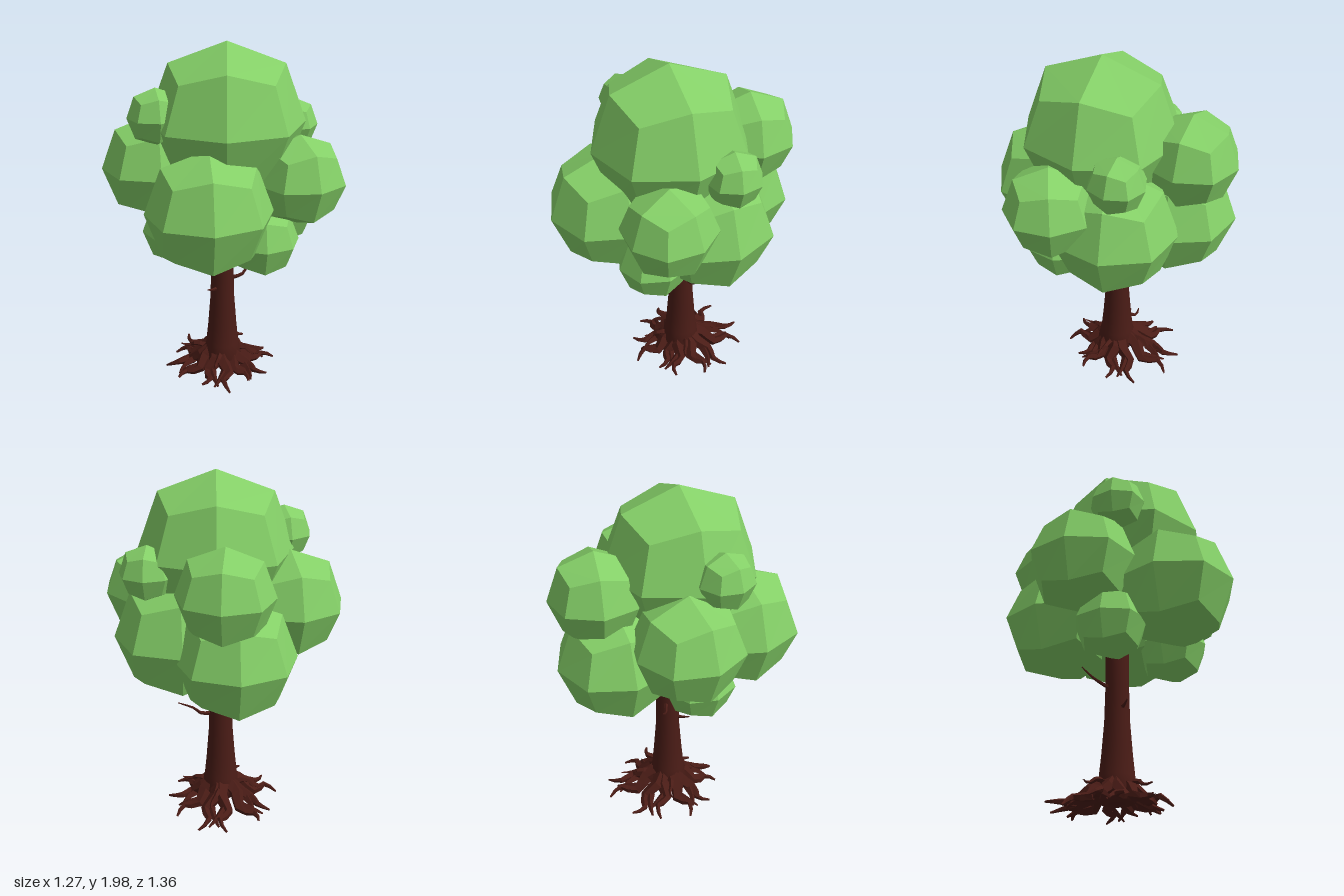
import * as THREE from 'three';

const leafMat = new THREE.MeshStandardMaterial({ color: 0x84cf67, flatShading: true });
const barkMat = new THREE.MeshStandardMaterial({ color: 0x4a1c16 });
const rootMat = new THREE.MeshStandardMaterial({ color: 0x4a1c16, flatShading: true });

// Unit leaf clump: a cube split 2x2 per side and rounded to a 24-quad ball
function clumpGeometry() {
  const geo = new THREE.BoxGeometry(2, 2, 2, 2, 2, 2);
  const pos = geo.attributes.position;
  const v = new THREE.Vector3();
  for (let i = 0; i < pos.count; i++) {
    v.fromBufferAttribute(pos, i);
    const k = [1, 1, 0.73, 0.57][Math.round(v.lengthSq())];
    pos.setXYZ(i, v.x * k, v.y * k, v.z * k);
  }
  geo.computeVertexNormals();
  return geo;
}

// Tube along a curve, narrowing from r0 to r1
function taperedTube(points, r0, r1, segments, sides) {
  const curve = new THREE.CatmullRomCurve3(points);
  const geo = new THREE.TubeGeometry(curve, segments, 1, sides);
  const pos = geo.attributes.position;
  const v = new THREE.Vector3();
  for (let i = 0; i < pos.count; i++) {
    const t = Math.floor(i / (sides + 1)) / segments;
    const c = curve.getPointAt(t);
    v.fromBufferAttribute(pos, i).sub(c).multiplyScalar(r0 + (r1 - r0) * t).add(c);
    pos.setXYZ(i, v.x, v.y, v.z);
  }
  geo.computeVertexNormals();
  return geo;
}

function add(parent, name, geo, mat) {
  const mesh = new THREE.Mesh(geo, mat);
  mesh.name = name;
  parent.add(mesh);
  return mesh;
}

export function createModel() {
  const tree = new THREE.Group();
  tree.name = 'tree';
  const V = (x, y, z) => new THREE.Vector3(x, y, z);

  // Leaf clumps: name, x, y, z, radius, turn
  const crown = new THREE.Group();
  crown.name = 'crown';
  tree.add(crown);
  const ball = clumpGeometry();
  const clumps = [
    ['topClump', 0.035, 1.58, 0.04, 0.42, -0.1],
    ['frontClump', -0.085, 1.18, 0.34, 0.335, 0],
    ['leftFrontClump', 0.4, 1.3, 0.22, 0.245, 0.3],
    ['leftClump', 0.255, 1.14, -0.08, 0.345, 0],
    ['leftSmallClump', 0.41, 1.51, -0.13, 0.15, -0.2],
    ['rightClump', -0.345, 1.3, -0.09, 0.295, 0.09],
    ['rightSmallClump', -0.34, 1.63, 0.11, 0.152, 0.15],
    ['backUpperClump', 0.04, 1.48, -0.43, 0.255, -0.2],
    ['backLowerClump', -0.02, 1.11, -0.36, 0.325, -0.04],
    ['leftLowClump', 0.21, 0.965, 0.22, 0.2, 0],
    ['rightLowClump', -0.23, 0.965, 0.03, 0.2, 0.1],
  ];
  for (const [name, x, y, z, r, turn] of clumps) {
    const m = add(crown, name, ball, leafMat);
    m.position.set(x, y, z);
    m.scale.setScalar(r);
    m.rotation.y = turn;
  }

  // Trunk, flared at the foot
  const profile = [[0, 0.06], [0.09, 0.06], [0.115, 0.12], [0.096, 0.2], [0.084, 0.32],
    [0.07, 0.5], [0.065, 0.7], [0.066, 1.15], [0, 1.15]];
  const trunk = add(tree, 'trunk',
    new THREE.LatheGeometry(profile.map(([r, y]) => new THREE.Vector2(r, y)), 16), barkMat);
  trunk.position.set(0.022, 0, -0.038);

  // Bare twigs on the trunk
  const twigs = [
    [V(0.05, 0.61, -0.04), V(0.14, 0.625, -0.06), V(0.18, 0.67, -0.08), V(0.27, 0.715, -0.09)],
    [V(0, 0.69, -0.06), V(-0.07, 0.7, -0.09), V(-0.13, 0.72, -0.12), V(-0.18, 0.765, -0.16)],
    [V(0, 0.57, -0.01), V(-0.04, 0.575, 0.03), V(-0.075, 0.59, 0.06)],
  ];
  twigs.forEach((p) => add(tree, 'twig', taperedTube(p, 0.014, 0.003, 8, 5), rootMat));

  // Roots spreading over the ground: angle, length
  const roots = new THREE.Group();
  roots.name = 'roots';
  roots.position.set(0.015, 0, -0.045);
  tree.add(roots);
  const spread = [[0, 0.32], [0.55, 0.3], [1.0, 0.26], [1.5, 0.31], [2.05, 0.3], [2.6, 0.31],
    [3.15, 0.33], [3.7, 0.31], [4.2, 0.36], [4.75, 0.38], [5.2, 0.37], [5.75, 0.33]];
  spread.forEach(([a, len], i) => {
    const s = i % 2 ? 1 : -1;
    const at = (f, y, bend) => V(Math.cos(a + bend) * len * f, y, Math.sin(a + bend) * len * f);
    const path = [at(0.12, 0.16, 0), at(0.34, 0.12, 0.12 * s), at(0.58, 0.065, -0.1 * s),
      at(0.8, 0.075 - 0.01 * (i % 3), 0.12 * s), at(1, 0.06 - 0.012 * (i % 4), 0)];
    add(roots, 'root', taperedTube(path, 0.052, 0.006, 8, 5), rootMat);

    // Side root, and a thin raised root on every third one
    const side = [at(0.5, 0.07, 0), at(0.7, 0.055, 0.2 * s), at(0.82, 0.025, 0.32 * s)];
    add(roots, 'sideRoot', taperedTube(side, 0.028, 0.006, 4, 4), rootMat);
    if (i % 3 === 0) {
      const raised = [at(0.2, 0.14, 0.3), at(0.45, 0.16, 0.25), at(0.6, 0.13, 0.35), at(0.75, 0.14, 0.3)];
      add(roots, 'raisedRoot', taperedTube(raised, 0.022, 0.004, 6, 4), rootMat);
    }
  });

  return tree;
}
